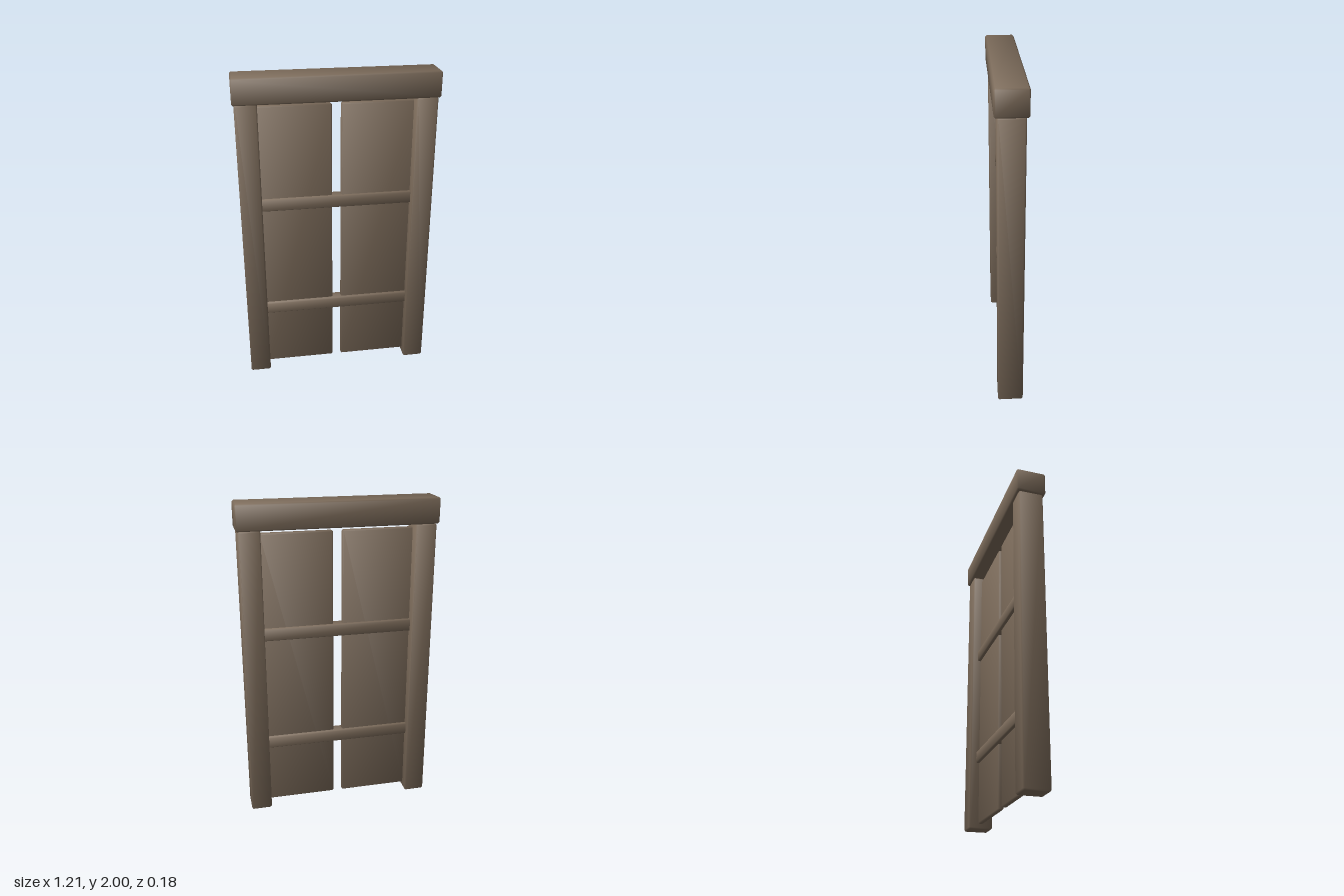
import * as THREE from 'three';
import { ConvexGeometry } from 'three/addons/geometries/ConvexGeometry.js';

const wood = new THREE.MeshStandardMaterial({ color: 0x7d6c5b });
wood.name = 'weathered wood';

// Chamfered beam whose normals blend softly across the bevels
function beam(name, w, h, d, bevel, x, y, z = 0) {
  const half = [w / 2, h / 2, d / 2];
  const points = [];
  for (const sx of [-1, 1]) for (const sy of [-1, 1]) for (const sz of [-1, 1]) {
    for (let axis = 0; axis < 3; axis++) {
      const p = [sx, sy, sz].map((s, i) => s * (half[i] - (i === axis ? 0 : bevel)));
      points.push(new THREE.Vector3(...p));
    }
  }
  const geometry = new ConvexGeometry(points);
  const pos = geometry.attributes.position;
  const normal = geometry.attributes.normal;
  const v = new THREE.Vector3();
  for (let i = 0; i < pos.count; i++) {
    v.fromBufferAttribute(pos, i);
    const n = v.toArray().map((c, k) =>
      Math.sign(c) * (Math.abs(c) > half[k] - bevel / 2 ? 1 : 0.39));
    v.set(...n).normalize();
    normal.setXYZ(i, v.x, v.y, v.z);
  }
  const mesh = new THREE.Mesh(geometry, wood);
  mesh.name = name;
  mesh.position.set(x, y, z);
  return mesh;
}

export function createModel() {
  const model = new THREE.Group();
  model.name = 'windowShutterFrame';

  // Lintel across the top
  model.add(beam('lintel', 1.21, 0.155, 0.184, 0.009, 0, 1.9225));

  // Side posts and the two boards between them
  for (const [side, s] of [['left', 1], ['right', -1]]) {
    model.add(beam(side + 'Post', 0.131, 1.845, 0.154, 0.009, s * 0.528, 0.9225));
    model.add(beam(side + 'Board', 0.442, 1.788, 0.034, 0.008, s * 0.249, 0.925));
  }

  // Cross rails through both boards
  for (const [name, y] of [['lowerRail', 0.465], ['upperRail', 1.202]]) {
    model.add(beam(name, 0.95, 0.076, 0.076, 0.006, 0, y));
  }
  return model;
}
